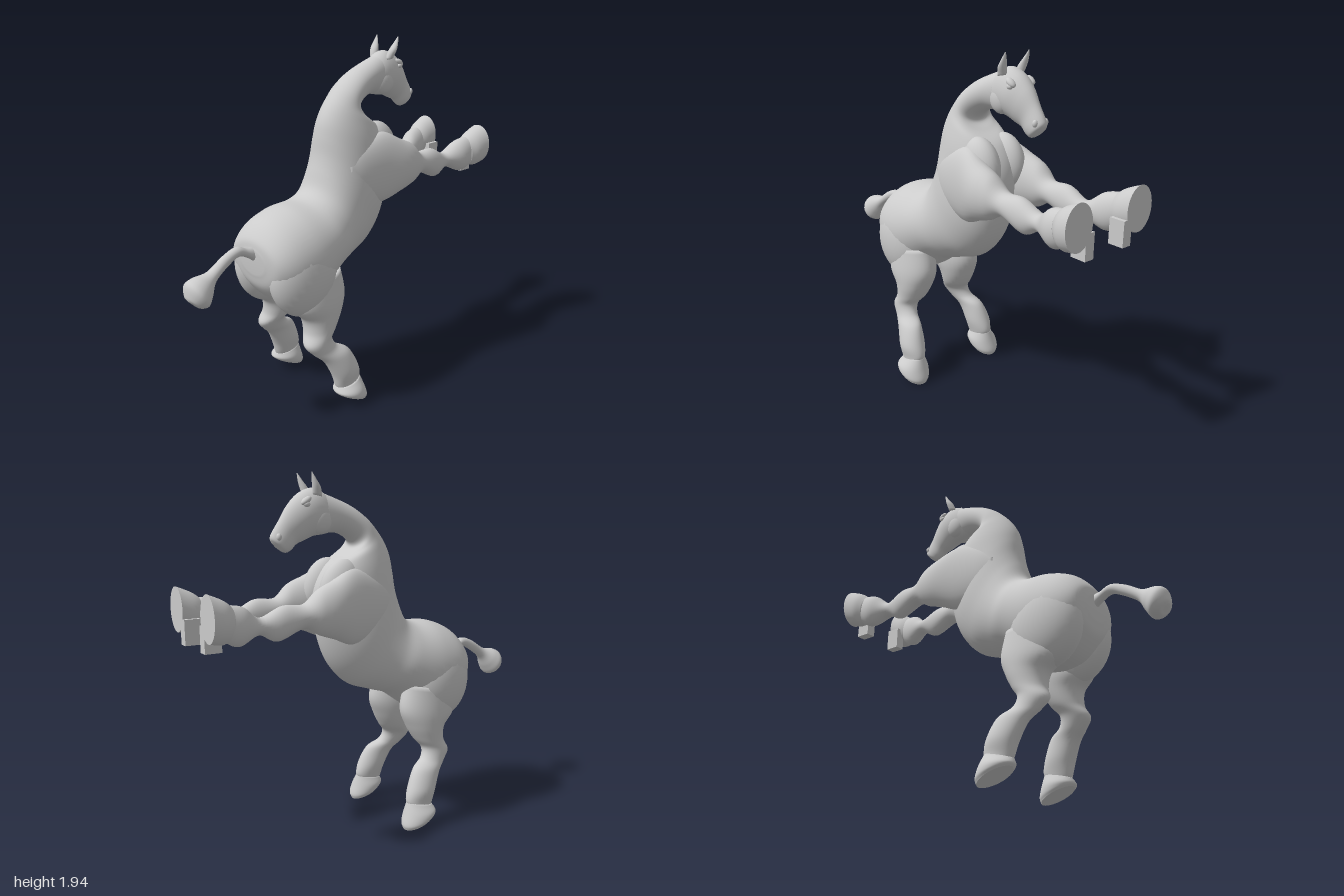
import * as THREE from 'three';

const material = new THREE.MeshStandardMaterial({ color: 0xcccccc });

// Smooth loft. Each section: [z, y of one edge, z, y of opposite edge, centre x, half width].
function loft(sections, { sides = 32, steps = 6, flatEnd = false, smooth = true } = {}) {
  const curve = (f) => new THREE.CatmullRomCurve3(sections.map(f), false, 'catmullrom', smooth ? 0.5 : 0);
  const edgeA = curve((s) => new THREE.Vector3(0, s[1], s[0]));
  const edgeB = curve((s) => new THREE.Vector3(0, s[3], s[2]));
  const across = curve((s) => new THREE.Vector3(s[4], s[5], 0));
  const rows = (sections.length - 1) * steps;
  const pos = [], index = [], centres = [], halves = [];
  for (let i = 0; i <= rows; i++) {
    const a = edgeA.getPoint(i / rows), b = edgeB.getPoint(i / rows), w = across.getPoint(i / rows);
    const c = a.clone().add(b).multiplyScalar(0.5).setX(w.x);
    const h = a.clone().sub(b).multiplyScalar(0.5);
    centres.push(c);
    halves.push(h);
    for (let j = 0; j < sides; j++) {
      const t = (j / sides) * Math.PI * 2;
      pos.push(c.x + Math.cos(t) * w.y, c.y + Math.sin(t) * h.y, c.z + Math.sin(t) * h.z);
    }
  }
  // Choose the winding from the direction of travel
  const m = Math.floor(rows / 2);
  const dir = centres[m + 1].clone().sub(centres[m]);
  const outward = new THREE.Vector3(1, 0, 0).cross(halves[m]).dot(dir) > 0;
  const tri = (a, b, c) => (outward ? index.push(a, b, c) : index.push(a, c, b));
  for (let i = 0; i < rows; i++) {
    for (let j = 0; j < sides; j++) {
      const k = (j + 1) % sides, p = i * sides, q = p + sides;
      tri(p + j, p + k, q + j);
      tri(p + k, q + k, q + j);
    }
  }
  // End caps; a flat end gets its own ring for a sharp edge
  const cap = (row, last) => {
    let start = row * sides;
    if (last && flatEnd) {
      const ring = pos.slice(start * 3, (start + sides) * 3);
      start = pos.length / 3;
      pos.push(...ring);
    }
    const mid = pos.length / 3;
    pos.push(...centres[row].toArray());
    for (let j = 0; j < sides; j++) {
      const k = (j + 1) % sides;
      if (last) tri(mid, start + j, start + k);
      else tri(mid, start + k, start + j);
    }
  };
  cap(0, false);
  cap(rows, true);
  const g = new THREE.BufferGeometry();
  g.setAttribute('position', new THREE.Float32BufferAttribute(pos, 3));
  g.setIndex(index);
  g.computeVertexNormals();
  return g;
}

function ellipsoid(centre, radii, tilt = 0) {
  const g = new THREE.SphereGeometry(1, 28, 20);
  return g.scale(...radii).rotateX(tilt).translate(...centre);
}

export function createModel() {
  const model = new THREE.Group();
  model.name = 'rearingHorse';
  const add = (name, geometry, parent = model) => {
    const mesh = new THREE.Mesh(geometry, material);
    mesh.name = name;
    parent.add(mesh);
    return mesh;
  };

  // Rump, barrel, chest and arched neck: back edge, belly edge
  add('bodyAndNeck', loft([
    [0.612, 0.95, 0.605, 0.82, 0, 0.09],
    [0.595, 1.01, 0.575, 0.73, 0, 0.19],
    [0.52, 1.085, 0.47, 0.63, 0, 0.25],
    [0.40, 1.13, 0.30, 0.62, 0, 0.268],
    [0.27, 1.14, 0.12, 0.73, 0, 0.245],
    [0.20, 1.185, 0.0, 0.77, 0, 0.215],
    [0.165, 1.28, -0.14, 0.825, 0, 0.2],
    [0.145, 1.36, -0.25, 0.95, 0, 0.195],
    [0.135, 1.45, -0.31, 1.12, 0, 0.182],
    [0.12, 1.525, -0.325, 1.32, 0, 0.165],
    [0.09, 1.59, -0.26, 1.455, 0, 0.14],
    [0.045, 1.65, -0.155, 1.52, 0, 0.115],
    [-0.02, 1.715, -0.10, 1.56, 0, 0.102],
    [-0.11, 1.775, -0.12, 1.60, 0, 0.092],
    [-0.22, 1.82, -0.19, 1.635, 0, 0.082],
    [-0.31, 1.85, -0.27, 1.64, 0, 0.075],
  ], { sides: 48 }));

  // Head from poll to muzzle
  add('head', loft([
    [-0.24, 1.82, -0.2, 1.65, 0, 0.06],
    [-0.33, 1.865, -0.27, 1.632, 0, 0.08],
    [-0.41, 1.84, -0.34, 1.622, 0, 0.084],
    [-0.475, 1.78, -0.395, 1.6, 0, 0.068],
    [-0.525, 1.705, -0.435, 1.583, 0, 0.05],
    [-0.565, 1.645, -0.465, 1.555, 0, 0.047],
    [-0.575, 1.615, -0.495, 1.542, 0, 0.04],
    [-0.562, 1.59, -0.525, 1.555, 0, 0.018],
  ]));

  // Thin arched dock ending in a tufted tail
  add('tail', loft([
    [0.57, 0.96, 0.58, 0.86, 0, 0.035],
    [0.64, 0.97, 0.62, 0.905, 0, 0.03],
    [0.70, 0.992, 0.69, 0.94, 0, 0.028],
    [0.78, 0.965, 0.755, 0.915, 0, 0.028],
    [0.87, 0.91, 0.84, 0.855, 0, 0.036],
    [0.95, 0.898, 0.875, 0.79, 0, 0.07],
    [0.99, 0.875, 0.905, 0.745, 0, 0.084],
    [1.0, 0.82, 0.945, 0.748, 0, 0.055],
    [0.995, 0.795, 0.965, 0.765, 0, 0.015],
  ], { sides: 24 }));

  for (const side of [1, -1]) {
    const label = side > 0 ? 'left' : 'right';
    const half = new THREE.Group();
    half.name = label + 'Side';
    model.add(half);
    const part = (name, geometry) => {
      if (side < 0) {
        // Mirror the geometry and restore its winding
        geometry.scale(-1, 1, 1);
        const ix = geometry.index.array;
        for (let i = 0; i < ix.length; i += 3) [ix[i + 1], ix[i + 2]] = [ix[i + 2], ix[i + 1]];
        geometry.computeVertexNormals();
      }
      return add(label + name, geometry, half);
    };

    // Haunch muscle
    part('Haunch', ellipsoid([0.14, 0.8, 0.39], [0.137, 0.235, 0.205], 0.12));

    // Hind leg: front edge, rear edge
    part('HindLeg', loft([
      [0.16, 0.80, 0.48, 0.75, 0.15, 0.1],
      [0.135, 0.66, 0.48, 0.62, 0.155, 0.112],
      [0.17, 0.56, 0.41, 0.545, 0.162, 0.102],
      [0.215, 0.48, 0.40, 0.465, 0.172, 0.085],
      [0.255, 0.425, 0.425, 0.40, 0.192, 0.066],
      [0.235, 0.37, 0.385, 0.345, 0.21, 0.056],
      [0.165, 0.325, 0.33, 0.29, 0.235, 0.06],
      [0.118, 0.23, 0.285, 0.2, 0.252, 0.068],
      [0.10, 0.16, 0.265, 0.13, 0.256, 0.055],
      [0.12, 0.12, 0.25, 0.10, 0.26, 0.05],
    ]));
    part('HindHoof', loft([
      [0.105, 0.155, 0.262, 0.12, 0.258, 0.054],
      [0.085, 0.09, 0.272, 0.10, 0.266, 0.082],
      [0.068, 0.03, 0.272, 0.09, 0.27, 0.085],
      [0.075, 0.002, 0.262, 0.078, 0.27, 0.075],
    ], { flatEnd: true }));

    // Shoulder and raised front leg: upper edge, lower edge
    part('FrontLeg', loft([
      [0.06, 1.34, 0.06, 1.16, 0.13, 0.03],
      [-0.03, 1.41, -0.02, 1.09, 0.13, 0.062],
      [-0.18, 1.46, -0.18, 1.06, 0.135, 0.09],
      [-0.31, 1.405, -0.31, 1.105, 0.16, 0.093],
      [-0.40, 1.365, -0.40, 1.135, 0.165, 0.08],
      [-0.48, 1.298, -0.49, 1.175, 0.158, 0.062],
      [-0.60, 1.298, -0.63, 1.125, 0.158, 0.058],
      [-0.72, 1.25, -0.73, 1.165, 0.155, 0.048],
      [-0.81, 1.308, -0.84, 1.125, 0.18, 0.066],
      [-0.88, 1.325, -0.91, 1.15, 0.19, 0.06],
      [-0.93, 1.32, -0.95, 1.18, 0.2, 0.05],
    ]));
    part('FrontHoof', loft([
      [-0.87, 1.31, -0.90, 1.155, 0.192, 0.058],
      [-0.92, 1.35, -0.94, 1.145, 0.2, 0.08],
      [-1.0, 1.385, -1.0, 1.155, 0.205, 0.088],
    ], { flatEnd: true }));
    // Small block beside the front hoof
    part('HoofBlock', new THREE.BoxGeometry(0.055, 0.13, 0.085).translate(0.128, 1.165, -0.9575));

    // Breast muscle, cheek, eye, nostril
    part('Breast', ellipsoid([0.085, 1.36, -0.22], [0.085, 0.15, 0.115], 0.35));
    part('Cheek', ellipsoid([0.04, 1.71, -0.315], [0.045, 0.075, 0.07]));
    part('Brow', ellipsoid([0.064, 1.8, -0.405], [0.02, 0.016, 0.032], -0.6));
    part('Eye', ellipsoid([0.07, 1.782, -0.405], [0.014, 0.014, 0.018]));
    part('Nostril', ellipsoid([0.034, 1.622, -0.545], [0.015, 0.019, 0.014]));

    // Pointed ear: front edge, rear edge
    part('Ear', loft([
      [-0.36, 1.83, -0.31, 1.82, 0.055, 0.02],
      [-0.368, 1.87, -0.325, 1.865, 0.067, 0.024],
      [-0.375, 1.905, -0.35, 1.9, 0.073, 0.016],
      [-0.38, 1.94, -0.376, 1.94, 0.077, 0.002],
    ], { sides: 14, steps: 4 }));
  }
  return model;
}
